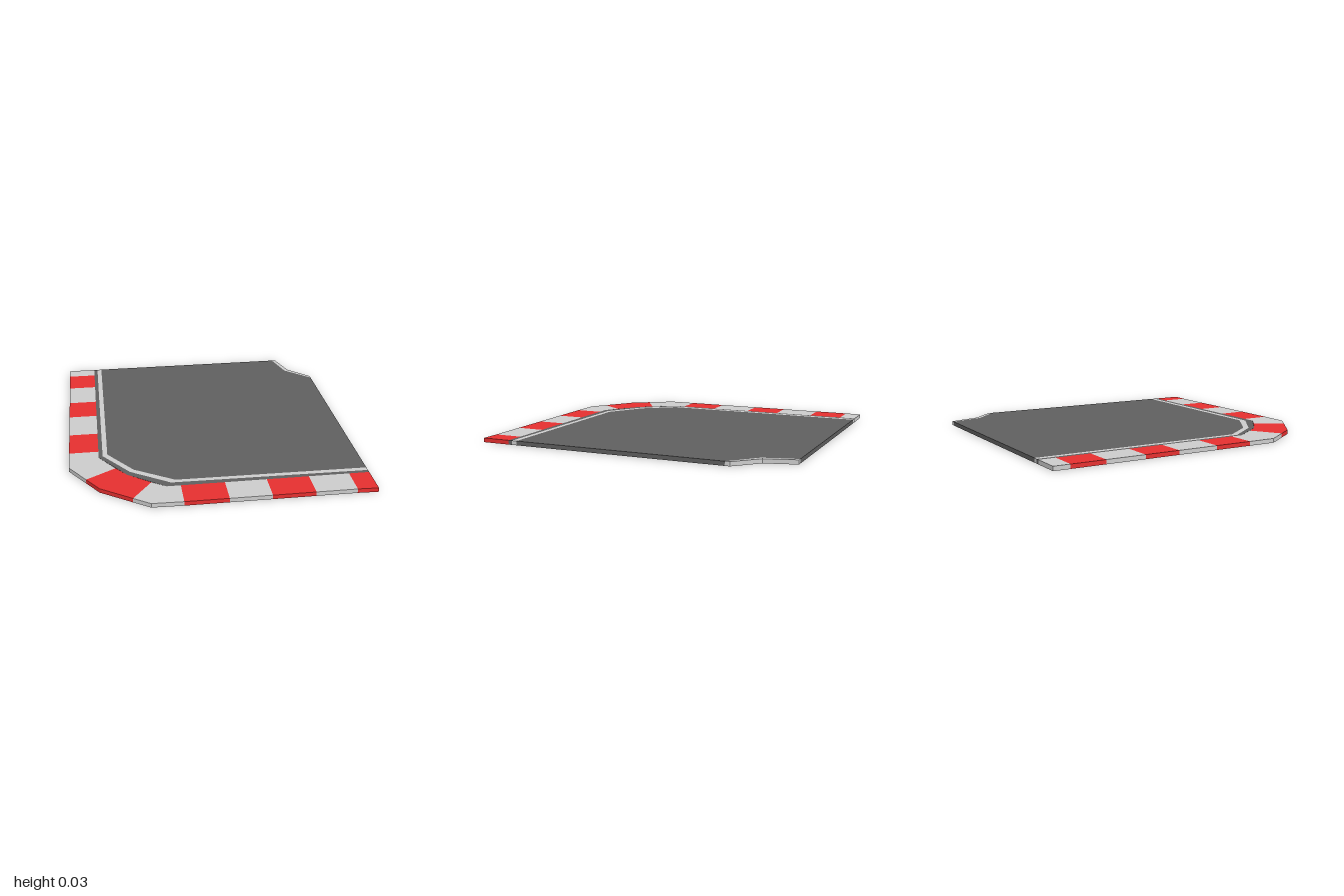
import * as THREE from 'three';

const HEIGHT = 0.027;

const material = (color) => new THREE.MeshStandardMaterial({ color, flatShading: true });

// Flat slab whose outline is given as [x, z] points
function slab(name, outline, mat) {
  const shape = new THREE.Shape(outline.map(([x, z]) => new THREE.Vector2(x, z)));
  const geometry = new THREE.ExtrudeGeometry(shape, { depth: HEIGHT, bevelEnabled: false });
  geometry.rotateX(Math.PI / 2).translate(0, HEIGHT, 0);
  const mesh = new THREE.Mesh(geometry, mat);
  mesh.name = name;
  return mesh;
}

// Area between two edges that run in the same direction
const between = (a, b) => [...a, ...[...b].reverse()];

export function createModel() {
  const track = new THREE.Group();
  track.name = 'trackCorner';
  const grey = material(0xcccccc);
  const red = material(0xe52f2f);
  const asphalt = material(0x5f5f5f);

  // Edges around the outside of the bend, from the back to the left end
  const kerbInner = [[-0.725, -1], [-0.725, 0.41], [-0.56, 0.645], [-0.335, 0.812], [0.907, 0.812]];
  const lineOuter = [[-0.7, -1], [-0.7, 0.393], [-0.54, 0.613], [-0.304, 0.772], [0.907, 0.787]];
  const lineInner = [[-0.67, -1], [-0.67, 0.375], [-0.517, 0.588], [-0.275, 0.743], [0.907, 0.755]];

  // Edges around the inside of the bend
  const cornerInner = [[0.685, -1], [0.74, -0.787], [0.907, -0.63]];
  const cornerOuter = [[0.71, -1], [0.765, -0.802], [0.907, -0.66]];

  // Road surface, its outer verge and the painted lines
  track.add(slab('road', between(lineInner, cornerInner), asphalt));
  track.add(slab('verge', between(kerbInner, lineOuter), asphalt));
  track.add(slab('outerLine', between(lineOuter, lineInner), grey));
  track.add(slab('innerLine', between(cornerInner, cornerOuter), grey));

  // Kerb stations: outer point, inner point, colour of the block that follows
  const side = (z, mat) => [[-0.91, z], [-0.725, z], mat];
  const front = (x, mat) => [[x, 0.995], [x, 0.812], mat];
  const stations = [
    side(-1, grey), side(-0.895, red), side(-0.675, grey), side(-0.42, red),
    side(-0.19, grey), side(0.08, red), side(0.33, grey),
    [[-0.91, 0.515], [-0.725, 0.41], grey],
    [[-0.807, 0.67], [-0.625, 0.556], red],
    [[-0.73, 0.785], [-0.56, 0.645], red],
    [[-0.54, 0.92], [-0.42, 0.752], grey],
    [[-0.44, 0.99], [-0.335, 0.812], grey],
    front(-0.25, red), front(0.015, grey), front(0.27, red),
    front(0.53, grey), front(0.78, red),
    [[0.907, 1], [0.907, 0.812], red],
  ];

  // Alternating kerb blocks
  const kerb = new THREE.Group();
  kerb.name = 'kerb';
  for (let i = 0; i < stations.length - 1; i++) {
    const [outerA, innerA, mat] = stations[i];
    const [outerB, innerB] = stations[i + 1];
    const name = mat === red ? 'redKerbBlock' : 'greyKerbBlock';
    kerb.add(slab(name, [outerA, outerB, innerB, innerA], mat));
  }
  track.add(kerb);

  return track;
}
